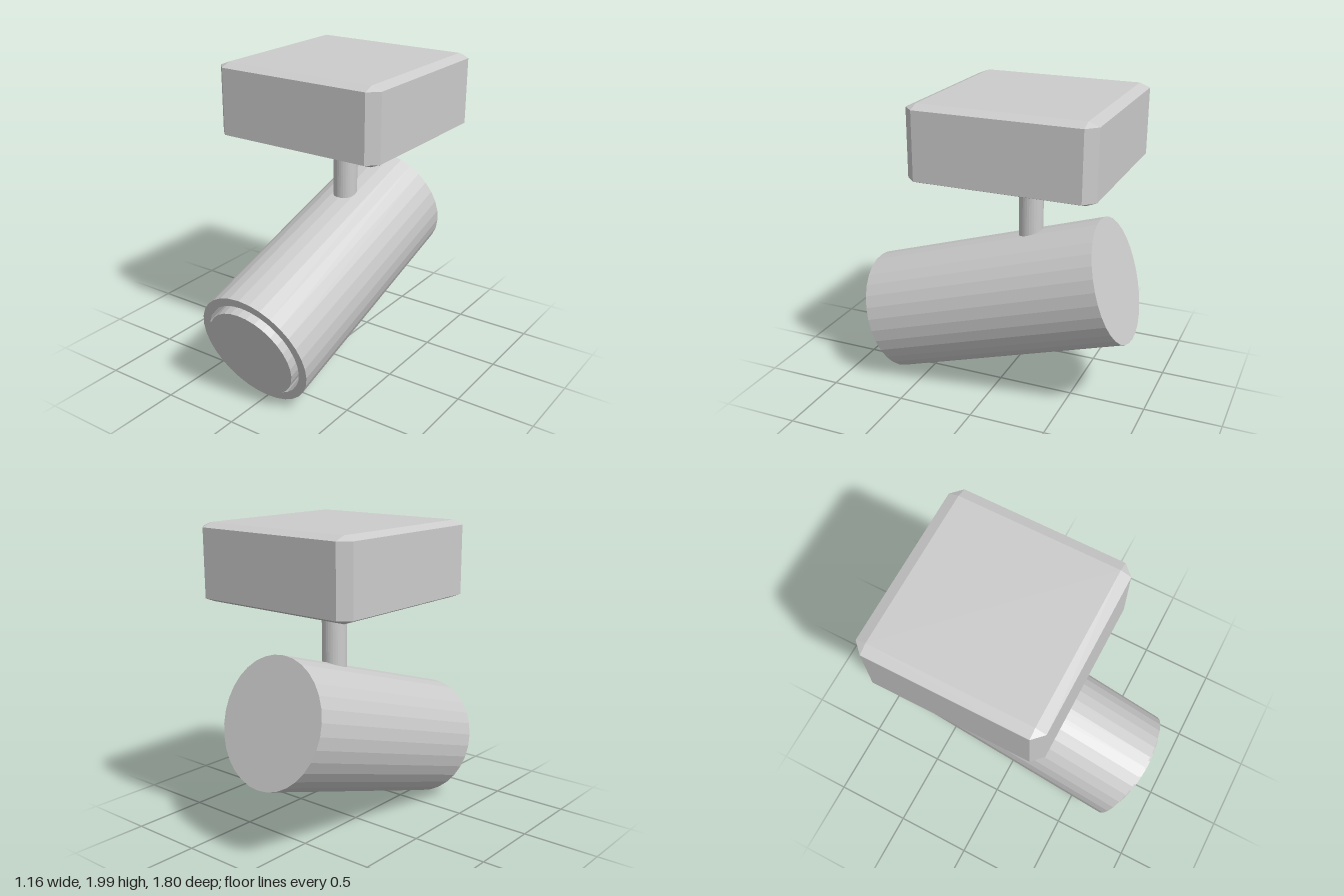
import * as THREE from 'three';
import { ConvexGeometry } from 'three/addons/geometries/ConvexGeometry.js';

const material = new THREE.MeshStandardMaterial({ color: 0xcccccc, flatShading: true });

function part(name, geometry, parent) {
  const mesh = new THREE.Mesh(geometry, material);
  mesh.name = name;
  parent.add(mesh);
  return mesh;
}

// Box with all edges cut; bevel is given per axis
function chamferedBox(half, bevel) {
  const points = [];
  for (const sx of [-1, 1]) for (const sy of [-1, 1]) for (const sz of [-1, 1]) {
    const sign = new THREE.Vector3(sx, sy, sz);
    // each corner becomes three points, one on each adjoining face
    for (const axis of ['x', 'y', 'z']) {
      const p = half.clone().sub(bevel);
      p[axis] = half[axis];
      points.push(p.multiply(sign));
    }
  }
  return new ConvexGeometry(points);
}

function lathe(profile) {
  return new THREE.LatheGeometry(profile.map(([r, y]) => new THREE.Vector2(r, y)), 32);
}

export function createModel() {
  const model = new THREE.Group();
  model.name = 'spotlight';
  const mountZ = -0.206;

  // Ceiling mount
  const mount = part('ceilingMount', chamferedBox(
    new THREE.Vector3(0.578, 0.236, 0.577), new THREE.Vector3(0.066, 0.026, 0.066)), model);
  mount.position.set(0, 1.764, mountZ);

  // Stem, sunk slightly into the lamp body
  const stem = part('stem', new THREE.CylinderGeometry(0.077, 0.077, 0.5, 32), model);
  stem.position.set(0, 1.29, mountZ);

  // Tilted lamp head, its axis pointing forward and down
  const head = new THREE.Group();
  head.name = 'lampHead';
  head.position.set(0, 0.635, -0.003);
  head.rotation.x = THREE.MathUtils.degToRad(107.5);
  head.scale.x = 0.953;
  model.add(head);

  // Body with a round recess in its front end
  part('lampBody', lathe([
    [0, -0.81], [0.402, -0.81], [0.402, 0.81], [0.345, 0.81], [0.345, 0.66], [0, 0.66],
  ]), head);

  // Lens standing in the recess
  part('lens', lathe([[0.317, 0.66], [0.317, 0.848], [0, 0.848]]), head);

  return model;
}
